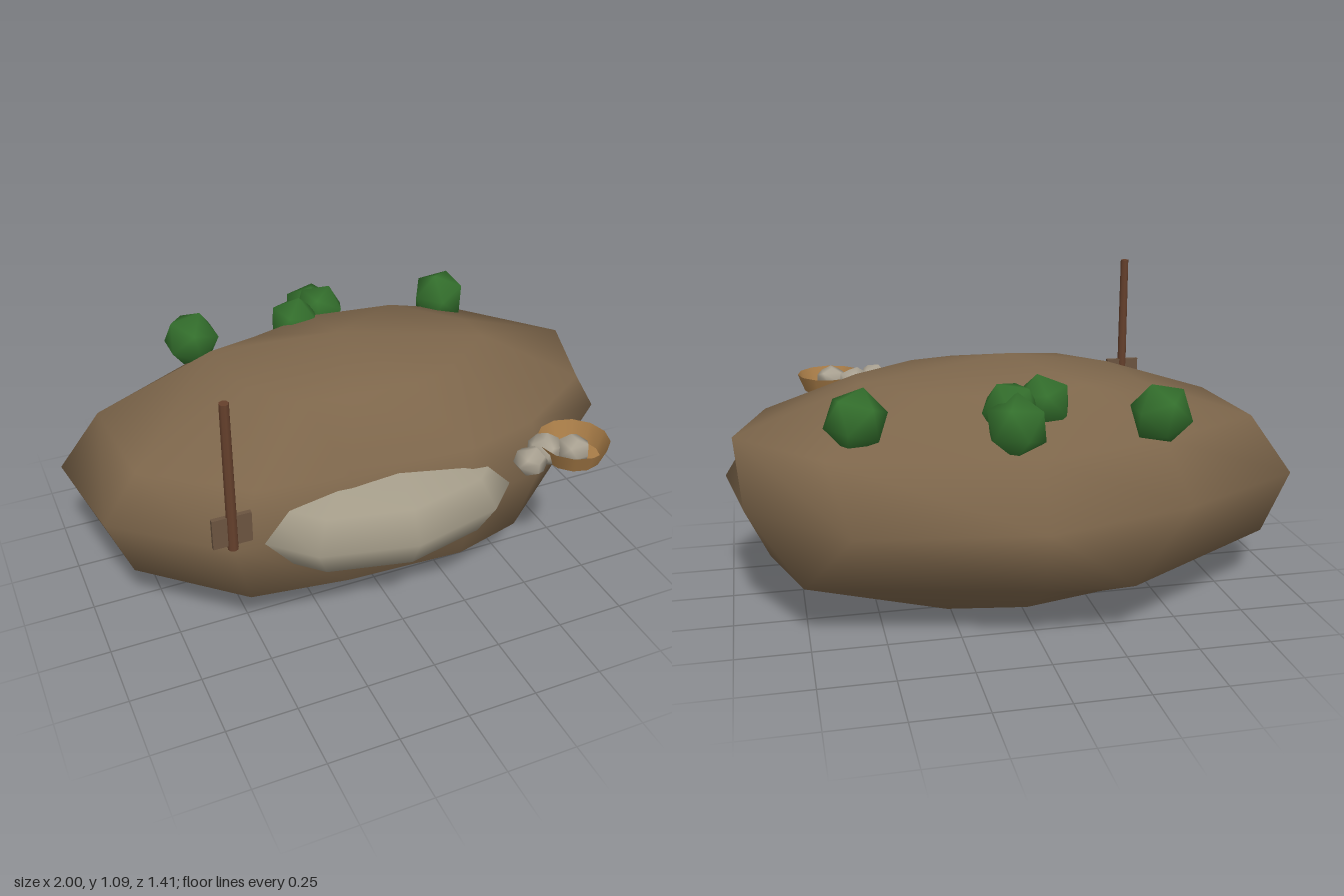
import * as THREE from 'three';
import { mergeVertices } from 'three/addons/utils/BufferGeometryUtils.js';

const paint = (name, color) => {
  const m = new THREE.MeshStandardMaterial({ color });
  m.name = name;
  return m;
};

// Drop split normals so that a coarse shape shades smoothly
function smooth(geometry) {
  geometry.deleteAttribute('normal');
  geometry.deleteAttribute('uv');
  const merged = mergeVertices(geometry, 1e-4);
  merged.computeVertexNormals();
  return merged;
}

// Uneven earth mound: one coarse outline scaled into five rings, with poles
function moundGeometry() {
  const cz = -0.09;
  const outline = [[0, -0.62], [0.61, -0.53], [0.94, -0.19], [1, 0.19], [0.58, 0.49], [0.28, 0.56],
    [-0.2, 0.54], [-0.58, 0.49], [-0.94, 0.19], [-1, -0.21], [-0.53, -0.47]];
  // y, then scale towards right, left, front and back
  const rings = [[0.8, 0.53, 0.42, 0.57, 0.46], [0.645, 0.92, 0.85, 0.99, 0.83],
    [0.43, 1, 1, 1.01, 1], [0.205, 0.86, 0.91, 0.99, 0.88], [0.04, 0.45, 0.55, 0.57, 0.49]];
  // Lumps: x and z factors of single corners, by ring and corner
  const lumps = {
    '0,2': [1.06, 0.3], '0,9': [1, 1.8],
    '1,1': [1.21, 0.87], '1,2': [1.115, 0.35], '1,3': [0.92, 1.5], '1,8': [1.03, 1.25],
    '3,1': [1.45, 0.77], '3,2': [1.065, 0.3], '3,3': [0.93, 1.28], '3,10': [0.63, 1.36],
    '4,3': [1, 1.6], '4,8': [1.06, 1.8],
  };
  const n = outline.length;
  const pos = [0, 0.875, cz];
  rings.forEach(([y, r, l, f, b], j) => outline.forEach(([x, z], i) => {
    const [lx, lz] = lumps[`${j},${i}`] ?? [1, 1];
    pos.push(x * (x > 0 ? r : l) * lx, y, cz + z * (z > 0 ? f : b) * lz);
  }));
  const last = pos.length / 3;
  pos.push(0, 0.003, cz);
  const idx = [];
  for (let i = 0; i < n; i++) {
    const k = (i + 1) % n;
    idx.push(0, 1 + k, 1 + i);
    for (let j = 0; j < rings.length - 1; j++) {
      const a = 1 + j * n + i, b = 1 + j * n + k;
      idx.push(a, b, a + n, b, b + n, a + n);
    }
    const base = 1 + (rings.length - 1) * n;
    idx.push(last, base + i, base + k);
  }
  const g = new THREE.BufferGeometry();
  g.setAttribute('position', new THREE.Float32BufferAttribute(pos, 3));
  g.setIndex(idx);
  g.computeVertexNormals();
  return g;
}

export function createModel() {
  const earth = paint('earth', 0x7d664b);
  const paleRock = paint('pale rock', 0xa39b88);
  const pebble = paint('pebble', 0xaaa292);
  const leaf = paint('leaf', 0x34702d);
  const wood = paint('dark wood', 0x65402c);
  const board = paint('board wood', 0x6b5440);
  const straw = paint('straw', 0xa97d48);
  straw.side = THREE.DoubleSide;

  const model = new THREE.Group();
  const add = (name, geometry, material, x, y, z) => {
    const mesh = new THREE.Mesh(geometry, material);
    mesh.name = name;
    mesh.position.set(x, y, z);
    model.add(mesh);
    return mesh;
  };

  add('mound', moundGeometry(), earth, 0, 0, 0);

  // Pale rock face bulging from the front, with a corner facing forward
  const rock = new THREE.SphereGeometry(1, 10, 6).rotateY(Math.PI / 10).scale(0.56, 0.22, 0.4);
  add('rockFace', smooth(rock), paleRock, -0.01, 0.438, 0.23);

  // Bushes along the back of the mound
  const bush = smooth(new THREE.IcosahedronGeometry(1, 0));
  [[-0.43, 0.74, -0.485, 0.108], [-0.05, 0.775, -0.395, 0.1], [0.07, 0.74, -0.53, 0.108],
    [0.075, 0.775, -0.455, 0.1], [0.57, 0.755, -0.405, 0.108]].forEach(([x, y, z, r], i) => {
    const m = add('bush', bush, leaf, x, y, z);
    m.scale.setScalar(r);
    m.rotation.set(0.3 * i, 0.9 * i, 0.2);
  });

  // Signpost
  add('signPost', new THREE.CylinderGeometry(0.016, 0.018, 0.535, 8), wood, -0.62, 0.8225, 0.535);
  add('signBoard', new THREE.BoxGeometry(0.13, 0.11, 0.015), board, -0.62, 0.625, 0.532);

  // Shallow open basket with a flat floor
  add('basket', new THREE.CylinderGeometry(0.124, 0.098, 0.066, 12, 1, true), straw, 0.585, 0.638, 0.577);
  add('basketFloor', new THREE.CircleGeometry(0.098, 12).rotateX(-Math.PI / 2), straw, 0.585, 0.606, 0.577);

  // Pebbles in and beside the basket
  const stone = smooth(new THREE.DodecahedronGeometry(1, 0));
  [[0.407, 0.643, 0.598, 0.058], [0.49, 0.64, 0.552, 0.063], [0.575, 0.643, 0.595, 0.06]]
    .forEach(([x, y, z, r], i) => {
      const m = add('pebble', stone, pebble, x, y, z);
      m.scale.set(r, r * 0.87, r);
      m.rotation.y = 0.8 * i;
    });

  return model;
}
